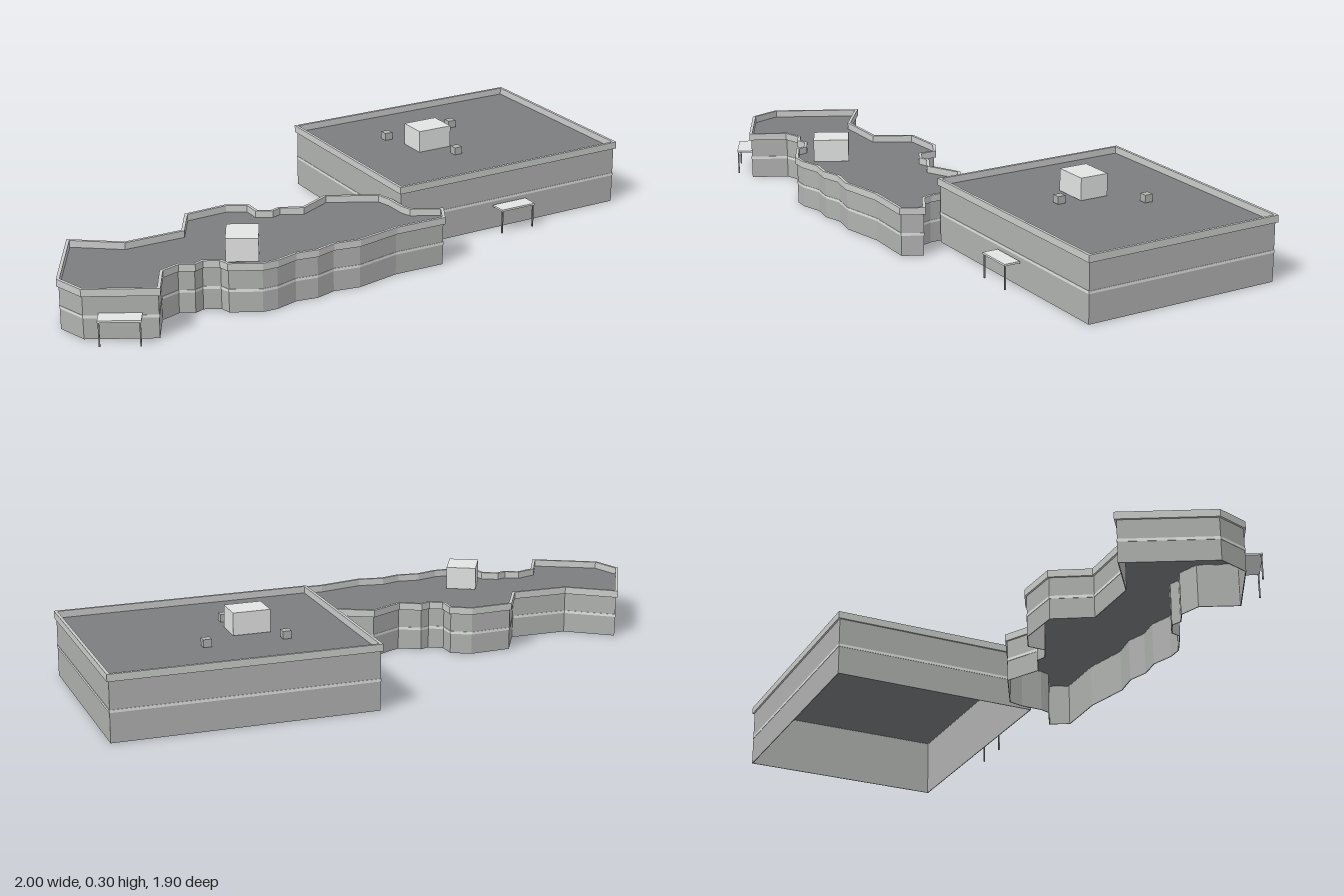
import * as THREE from 'three';

const mat = (name, color, side = THREE.FrontSide) => {
  const m = new THREE.MeshStandardMaterial({ color, side });
  m.name = name;
  return m;
};

// Plan outlines, clockwise seen from above, as [x, z]
const HALL = [[-0.215, -0.505], [0.633, -0.953], [1, -0.275], [0.157, 0.179]];
const WING = [
  [-1, 0.472], [-0.8, 0.5], [-0.612, 0.403], [-0.608, 0.252], [-0.468, 0.169], [-0.383, 0.169],
  [-0.352, 0.225], [-0.302, 0.225], [-0.277, 0.198], [-0.192, 0.198], [-0.112, 0.087], [0.088, 0.087],
  [0.128, 0.132], [0.168, 0.202], [0.193, 0.226], [0.308, 0.226], [0.308, 0.317], [0.134, 0.404],
  [0.004, 0.511], [-0.086, 0.541], [-0.141, 0.594], [-0.216, 0.621], [-0.276, 0.679], [-0.328, 0.704],
  [-0.446, 0.704], [-0.472, 0.676], [-0.527, 0.676], [-0.552, 0.704], [-0.607, 0.704], [-0.656, 0.753],
  [-0.656, 0.897], [-0.913, 0.897], [-1, 0.811],
];
const TURN = 0.486;

// Mitred inward offset of an outline, returned in shape space (x, -z)
function inset(outline, d) {
  const p = outline.map(([x, z]) => new THREE.Vector2(x, -z));
  const n = p.length;
  const normal = (a, b) => new THREE.Vector2(b.y - a.y, a.x - b.x).normalize();
  return p.map((v, i) => {
    const a = normal(p[(i + n - 1) % n], v);
    const b = normal(v, p[(i + 1) % n]);
    const m = a.clone().add(b);
    return v.clone().addScaledVector(m, d / (1 + a.dot(b)));
  });
}

export function createModel() {
  const model = new THREE.Group();
  model.name = 'building';
  const wall = mat('wall grey', 0xb0b2b0, THREE.DoubleSide);
  const trim = mat('parapet grey', 0xcbcdcb);
  const light = mat('light grey', 0xe2e4e3);
  const roofing = mat('roof dark grey', 0x7c7d7f, THREE.DoubleSide);
  const post = mat('post grey', 0x8c8e90);

  const add = (parent, name, geometry, material) => {
    const mesh = new THREE.Mesh(geometry, material);
    mesh.name = name;
    parent.add(mesh);
    return mesh;
  };

  // Closed band following an outline between two insets and two heights;
  // the hole runs the opposite way so its faces look inward
  const ring = (parent, name, outline, outer, inner, y0, y1, material) => {
    const shape = new THREE.Shape(inset(outline, outer));
    shape.holes.push(new THREE.Path(inset(outline, inner).reverse()));
    const g = new THREE.ExtrudeGeometry(shape, { depth: y1 - y0, bevelEnabled: false });
    g.rotateX(-Math.PI / 2).translate(0, y0, 0);
    return add(parent, name, g, material);
  };

  const box = (parent, name, w, h, d, x, y, z, material, turn = 0) => {
    const mesh = add(parent, name, new THREE.BoxGeometry(w, h, d), material);
    mesh.position.set(x, y + h / 2, z);
    mesh.rotation.y = turn;
    return mesh;
  };

  // Open-bottomed block: walls, string course, parapet and sunken roof
  const block = (name, outline, top, courseY) => {
    const g = new THREE.Group();
    g.name = name;
    model.add(g);
    ring(g, 'walls', outline, 0.007, 0.01, 0, top - 0.02, wall);
    ring(g, 'stringCourse', outline, 0.0055, 0.008, courseY - 0.005, courseY + 0.005, light);
    ring(g, 'parapet', outline, 0, 0.011, top - 0.026, top, trim);
    const roof = new THREE.ShapeGeometry(new THREE.Shape(inset(outline, 0.009)));
    roof.rotateX(-Math.PI / 2).translate(0, top - 0.025, 0);
    add(g, 'roof', roof, roofing);
    return g;
  };

  const hall = block('hall', HALL, 0.24, 0.11);
  const wing = block('wing', WING, 0.18, 0.08);

  // Rooftop plant rooms and vents
  box(hall, 'plantRoom', 0.136, 0.082, 0.11, 0.287, 0.217, -0.329, light, TURN);
  for (const [x, z] of [[0.137, -0.405], [0.39, -0.538], [0.39, -0.235]])
    box(hall, 'roofVent', 0.031, 0.028, 0.031, x, 0.217, z, wall, TURN);
  box(wing, 'plantRoom', 0.112, 0.084, 0.132, -0.398, 0.157, 0.568, light);

  // Entrance canopies on two slim posts
  const canopy = (parent, x, z, turn) => {
    const g = new THREE.Group();
    g.name = 'entranceCanopy';
    g.position.set(x, 0, z);
    g.rotation.y = turn;
    parent.add(g);
    box(g, 'canopyRoof', 0.143, 0.007, 0.06, 0, 0.086, 0, light);
    for (const s of [-1, 1]) box(g, 'canopyPost', 0.005, 0.086, 0.005, s * 0.067, 0, 0.026, post);
  };
  canopy(wing, -0.788, 0.921, 0);
  canopy(hall, 0.588, -0.021, TURN);

  return model;
}
